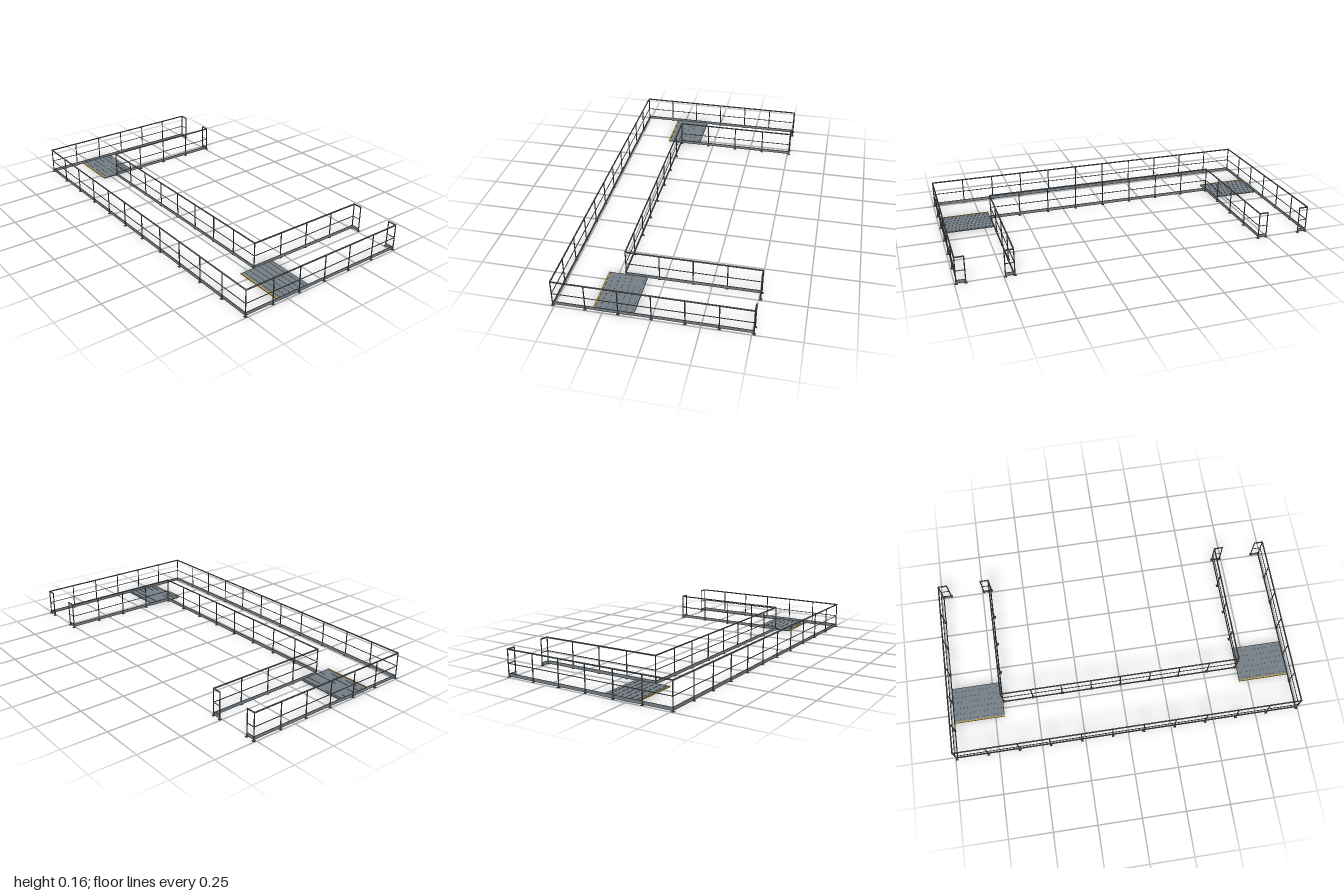
import * as THREE from 'three';

const mat = (name, hex) => new THREE.MeshStandardMaterial({ name, color: hex });

export function createModel() {
  const steel = mat('rail steel', 0x6c7074);
  const grey = mat('grey plate', 0x747d84);
  const edge = mat('yellow nosing', 0xd0ac3a);

  const model = new THREE.Group();
  model.name = 'guardrailWalkway';

  const box = (parent, name, m, w, h, d, x, y, z) => {
    const b = new THREE.Mesh(new THREE.BoxGeometry(w, h, d), m);
    b.name = name;
    b.position.set(x, y, z);
    parent.add(b);
    return b;
  };

  const pipe = (parent, name, r, a, b) => {
    const dir = new THREE.Vector3().subVectors(b, a);
    const p = new THREE.Mesh(new THREE.CylinderGeometry(r, r, dir.length(), 10), steel);
    p.name = name;
    p.position.copy(a).add(b).multiplyScalar(0.5);
    p.quaternion.setFromUnitVectors(new THREE.Vector3(0, 1, 0), dir.normalize());
    parent.add(p);
  };

  // One post with its foot plate
  const addPost = (parent, x, z) => {
    pipe(parent, 'post', 0.003, new THREE.Vector3(x, 0, z), new THREE.Vector3(x, 0.15, z));
    box(parent, 'footPlate', steel, 0.015, 0.002, 0.015, x, 0.001, z);
  };

  // A railing along a path; bays[i] is the number of bays on leg i,
  // side is the direction (+1 or -1) in which the kickboard is offset
  const addRailing = (name, path, bays, side) => {
    const g = new THREE.Group();
    g.name = name;
    addPost(g, ...path[0]);
    bays.forEach((n, i) => {
      const [x0, z0] = path[i], [x1, z1] = path[i + 1];
      const dx = x1 - x0, dz = z1 - z0, len = Math.hypot(dx, dz);
      for (let k = 1; k <= n; k++) addPost(g, x0 + dx * k / n, z0 + dz * k / n);
      const at = (x, y, z) => new THREE.Vector3(x, y, z);
      pipe(g, 'topRail', 0.004, at(x0, 0.151, z0), at(x1, 0.151, z1));
      pipe(g, 'midRail', 0.0022, at(x0, 0.075, z0), at(x1, 0.075, z1));
      const off = 0.0045 * side;
      const kick = box(g, 'kickboard', grey, len, 0.018, 0.003,
        (x0 + x1) / 2 + off * dz / len, 0.012, (z0 + z1) / 2 - off * dx / len);
      kick.rotation.y = Math.atan2(-dz, dx);
    });
    // Ball joints closing the top rail corners
    for (const [x, z] of path) {
      const joint = new THREE.Mesh(new THREE.SphereGeometry(0.004, 10, 6), steel);
      joint.name = 'railJoint';
      joint.position.set(x, 0.151, z);
      g.add(joint);
    }
    model.add(g);
  };

  addRailing('outerRailing',
    [[-0.943, -0.51], [-0.992, -0.51], [-0.992, 0.51], [0.992, 0.51], [0.992, -0.51], [0.943, -0.51]],
    [1, 6, 11, 6, 1], 1);
  addRailing('innerRailing',
    [[-0.742, -0.51], [-0.693, -0.51], [-0.693, 0.21], [0.693, 0.21], [0.693, -0.51], [0.742, -0.51]],
    [1, 4, 8, 4, 1], -1);

  // Ribbed deck panels at the two corners
  for (const s of [-1, 1]) {
    const g = new THREE.Group();
    g.name = s < 0 ? 'rightDeck' : 'leftDeck';
    const x = s * 0.843, w = 0.292;
    box(g, 'deckPlate', grey, w, 0.005, 0.204, x, 0.0045, 0.193);
    for (let i = 0; i < 6; i++)
      box(g, 'deckRib', grey, w, 0.001, 0.012, x, 0.0075, 0.11 + i * 0.033);
    box(g, 'frontNosing', edge, w, 0.006, 0.007, x, 0.006, 0.2985);
    model.add(g);
  }
  return model;
}
